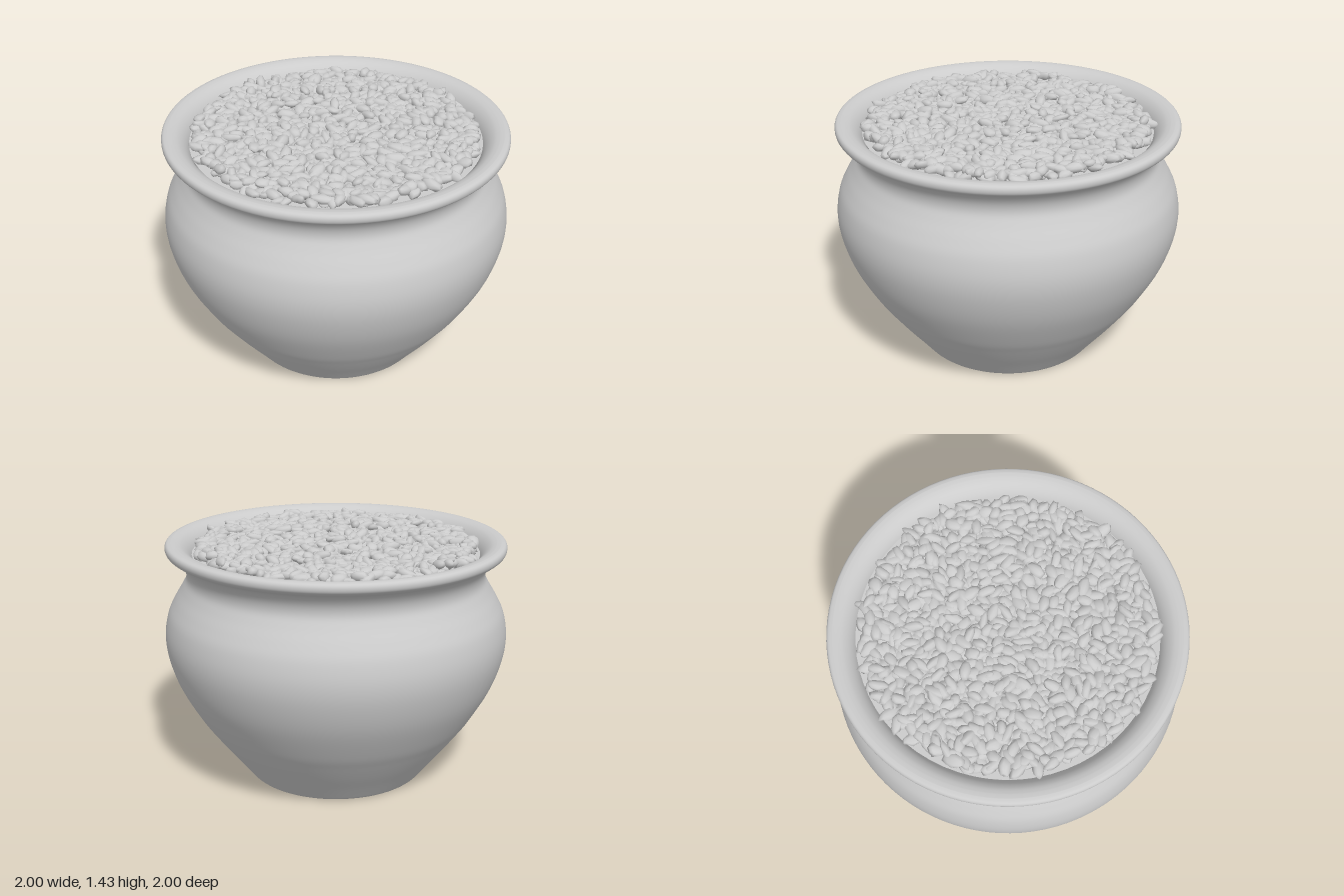
import * as THREE from 'three';
import { mergeGeometries, mergeVertices } from 'three/addons/utils/BufferGeometryUtils.js';

const material = new THREE.MeshStandardMaterial({ color: 0xcccccc });

// Small seeded generator, returns values in 0..1
function seeded(seed) {
  return () => {
    seed = (seed * 1664525 + 1013904223) % 4294967296;
    return seed / 4294967296;
  };
}

function smooth(points, count) {
  const curve = new THREE.SplineCurve(points.map(([x, y]) => new THREE.Vector2(x, y)));
  return curve.getPoints(count);
}

// Rounded pot with narrow foot, pinched neck and flared rim
function createPot() {
  const foot = [[0, 0.015], [0.44, 0.015], [0.455, 0.012], [0.47, 0.002], [0.48, 0], [0.515, 0], [0.527, 0.003]]
    .map(([x, y]) => new THREE.Vector2(x, y));
  const outside = smooth([
    [0.535, 0.01], [0.605, 0.1], [0.685, 0.2], [0.76, 0.3], [0.83, 0.4], [0.93, 0.58], [0.985, 0.74],
    [1, 0.87], [0.98, 0.99], [0.94, 1.075], [0.895, 1.15], [0.867, 1.21], [0.873, 1.27],
    [0.91, 1.325], [0.955, 1.35], [0.977, 1.37], [0.981, 1.395], [0.97, 1.413], [0.945, 1.419],
  ], 90);
  const inside = smooth([
    [0.925, 1.417], [0.89, 1.405], [0.855, 1.375], [0.83, 1.33], [0.81, 1.25], [0.83, 1.17],
    [0.91, 1.02], [0.94, 0.86], [0.88, 0.6], [0.73, 0.35], [0.5, 0.08], [0, 0.07],
  ], 40);
  const pot = new THREE.Mesh(new THREE.LatheGeometry([...foot, ...outside, ...inside], 96), material);
  pot.name = 'pot';
  return pot;
}

// A lumpy, slightly flattened stone of unit radius
function stoneShape(random) {
  const base = new THREE.IcosahedronGeometry(1, 1);
  base.deleteAttribute('normal');
  base.deleteAttribute('uv');
  const stone = mergeVertices(base, 1e-3);
  const p = stone.attributes.position;
  for (let i = 0; i < p.count; i++) {
    const s = 0.83 + 0.34 * random();
    p.setXYZ(i, p.getX(i) * s, p.getY(i) * s, p.getZ(i) * s);
  }
  return stone;
}

// Stones spread in a spiral, each with its own turn, tilt and size
function createPebbles() {
  const random = seeded(7);
  const shapes = Array.from({ length: 12 }, () => stoneShape(random));
  const count = 1150;
  const radius = 0.795;
  const stones = [];
  const dummy = new THREE.Object3D();
  dummy.rotation.order = 'YXZ';
  for (let i = 0; i < count; i++) {
    const r = Math.min(radius, radius * Math.sqrt((i + 0.5) / count) + (random() - 0.5) * 0.03);
    const a = i * 2.39996 + (random() - 0.5) * 0.04;
    dummy.position.set(r * Math.cos(a), 1.355 + 0.04 * random(), r * Math.sin(a));
    dummy.rotation.set((random() - 0.5) * 0.9, random() * Math.PI * 2, (random() - 0.5) * 0.7);
    dummy.scale.set(0.042 + 0.022 * random(), 0.02 + 0.01 * random(), 0.024 + 0.013 * random());
    dummy.updateMatrix();
    const stone = shapes[i % shapes.length].clone().applyMatrix4(dummy.matrix);
    // Keep the top of the bed level with the rim
    const p = stone.attributes.position;
    stone.computeBoundingBox();
    const excess = stone.boundingBox.max.y - 1.43;
    if (excess > 0) stone.translate(0, -excess, 0);
    p.needsUpdate = true;
    stone.computeVertexNormals();
    stones.push(stone);
  }
  const pebbles = new THREE.Mesh(mergeGeometries(stones), material);
  pebbles.name = 'pebbles';
  return pebbles;
}

export function createModel() {
  const model = new THREE.Group();
  model.name = 'pebblePot';

  // Filling below the stones
  const filling = new THREE.Mesh(new THREE.CircleGeometry(0.83, 64).rotateX(-Math.PI / 2), material);
  filling.name = 'filling';
  filling.position.y = 1.345;

  model.add(createPot(), filling, createPebbles());
  return model;
}
